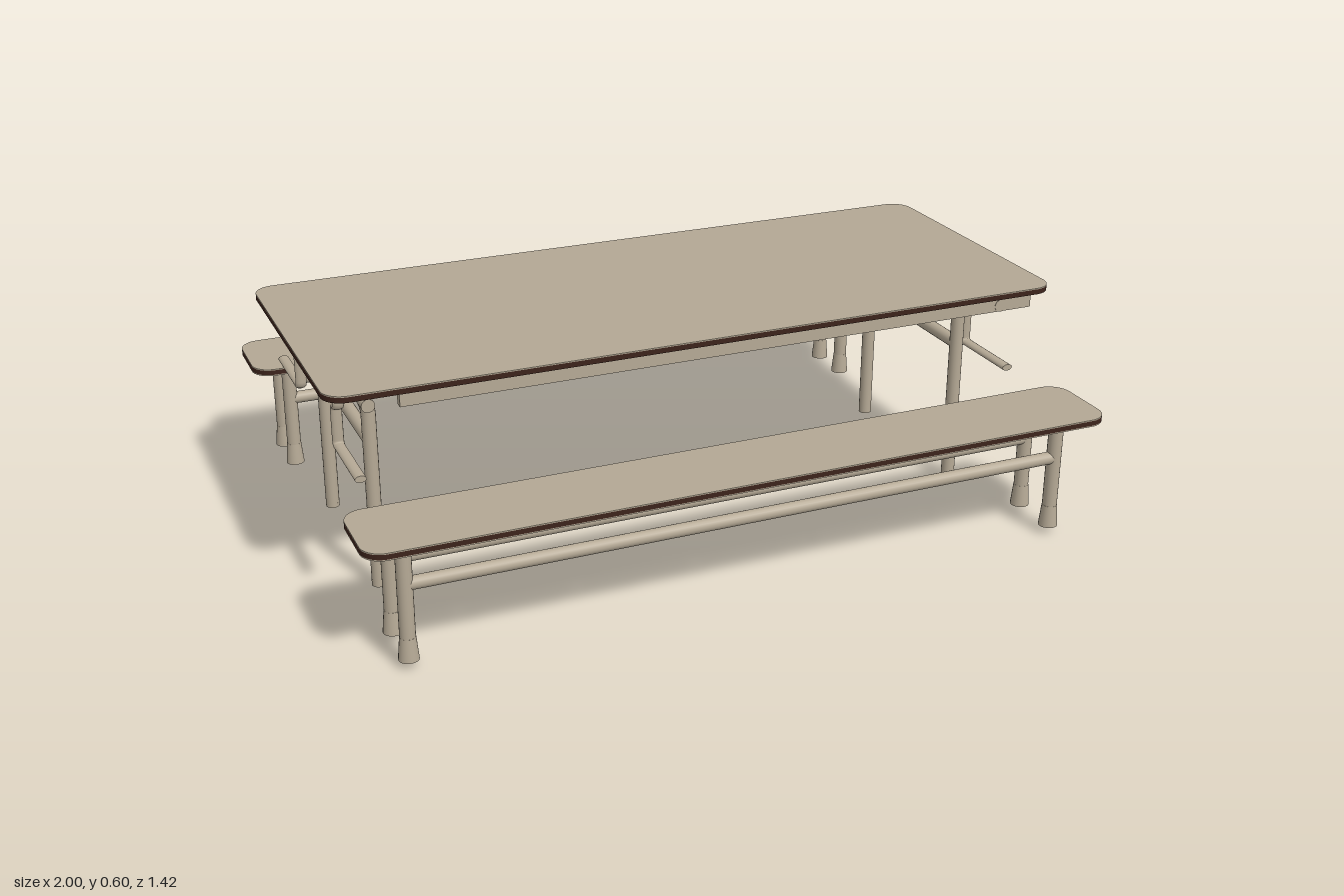
import * as THREE from 'three';

const V = (x, y, z) => new THREE.Vector3(x, y, z);

export function createModel() {
  const model = new THREE.Group();
  const mat = (name, color) => {
    const m = new THREE.MeshStandardMaterial({ color });
    m.name = name;
    return m;
  };
  const laminate = mat('beige laminate', 0xb3a894);
  const edging = mat('dark brown edging', 0x3c231b);
  const steel = mat('painted beige steel', 0xb6aa96);

  const add = (parent, name, geo, material) => {
    const mesh = new THREE.Mesh(geo, material);
    mesh.name = name;
    parent.add(mesh);
    return mesh;
  };
  const group = (name) => {
    const g = new THREE.Group();
    g.name = name;
    model.add(g);
    return g;
  };

  // Flat board with rounded corners, lying between y0 and y1
  const board = (w, d, y0, y1) => {
    const r = 0.055, x = w / 2 - r, z = d / 2 - r, s = new THREE.Shape();
    s.absarc(x, z, r, 0, Math.PI / 2);
    s.absarc(-x, z, r, Math.PI / 2, Math.PI);
    s.absarc(-x, -z, r, Math.PI, Math.PI * 1.5);
    s.absarc(x, -z, r, Math.PI * 1.5, Math.PI * 2);
    s.closePath();
    return new THREE.ExtrudeGeometry(s, { depth: y1 - y0, bevelEnabled: false, curveSegments: 8 })
      .rotateX(-Math.PI / 2).translate(0, y0, 0);
  };

  // Straight capped tube between two points
  const rod = (parent, name, a, b, r, r2 = r) => {
    const dir = b.clone().sub(a);
    const mesh = add(parent, name, new THREE.CylinderGeometry(r2, r, dir.length(), 20), steel);
    mesh.position.copy(a).lerp(b, 0.5);
    mesh.quaternion.setFromUnitVectors(V(0, 1, 0), dir.normalize());
    return mesh;
  };

  // Path of straight runs with rounded bends
  const bentPath = (pts, radius) => {
    const path = new THREE.CurvePath();
    let from = pts[0];
    for (let i = 1; i < pts.length - 1; i++) {
      const p = pts[i];
      const a = p.clone().add(pts[i - 1].clone().sub(p).setLength(radius));
      const b = p.clone().add(pts[i + 1].clone().sub(p).setLength(radius));
      path.add(new THREE.LineCurve3(from, a));
      path.add(new THREE.QuadraticBezierCurve3(a, p, b));
      from = b;
    }
    path.add(new THREE.LineCurve3(from, pts[pts.length - 1]));
    return path;
  };

  // Table top with its rails
  const top = group('tableTop');
  add(top, 'tableTopCore', board(2, 0.825, 0.583, 0.597), edging);
  add(top, 'tableTopSurface', board(2, 0.825, 0.597, 0.6), laminate);
  for (const z of [0.388, -0.374]) {
    const rail = add(top, 'sideRail', new THREE.BoxGeometry(1.755, 0.038, 0.022), steel);
    rail.position.set(0.057, 0.564, z);
  }

  // Folding leg frames, one at each end
  for (const [legX, topX, armX] of [[-0.861, -0.897, -0.93], [0.81, 0.84, 0.866]]) {
    const frame = group('legFrame');
    rod(frame, 'pivotTube', V(topX, 0.561, -0.385), V(topX, 0.561, 0.4), 0.017);
    rod(frame, 'lowerCrossbar', V(legX, 0.403, -0.245), V(legX, 0.403, 0.245), 0.018);
    for (const s of [-1, 1]) {
      const z = s * 0.243;
      const path = bentPath([V(legX, 0.004, z), V(legX, 0.5, z), V(topX, 0.562, z)], 0.03);
      add(frame, 'tableLeg', new THREE.TubeGeometry(path, 40, 0.0185, 18), steel);
      rod(frame, 'legFoot', V(legX, 0, z), V(legX, 0.012, z), 0.0185);
      const clip = add(frame, 'pivotClip', new THREE.BoxGeometry(0.045, 0.042, 0.009), steel);
      clip.position.set(topX, 0.564, s * 0.312);
    }
    // Flattened bent rod that reaches out towards both benches
    const half = [[0.415, 0.384], [0.2, 0.384], [0.2, 0.493], [0.228, 0.493], [0.228, 0.564]];
    const pts = [
      ...half.map(([z, y]) => V(0, y, z)),
      ...half.slice().reverse().map(([z, y]) => V(0, y, -z)),
    ];
    const arm = add(frame, 'benchArm',
      new THREE.TubeGeometry(bentPath(pts, 0.0139), 220, 0.009, 12), steel);
    arm.scale.x = 1.65;
    arm.position.x = armX;
    for (const s of [-1, 1]) {
      const cap = add(frame, 'armEnd', new THREE.CylinderGeometry(0.009, 0.009, 0.004, 12).rotateX(Math.PI / 2), steel);
      cap.scale.x = 1.65;
      cap.position.set(armX, 0.384, s * 0.414);
    }
  }

  // Benches
  for (const s of [-1, 1]) {
    const bench = group(s > 0 ? 'frontBench' : 'backBench');
    const mid = s > 0 ? 0.587 : -0.591;
    const slabs = [
      ['seatUnderside', 0.314, 0.317, laminate],
      ['seatEdge', 0.317, 0.33, edging],
      ['seatSurface', 0.33, 0.333, laminate],
    ];
    for (const [name, y0, y1, m] of slabs) {
      add(bench, name, board(2, 0.24, y0, y1), m).position.z = mid;
    }
    for (const off of [-0.068, 0.068]) {
      const z = mid + off;
      rod(bench, 'stretcher', V(-0.9, 0.218, z), V(0.87, 0.218, z), 0.017);
      for (const x of [-0.9, 0.87]) {
        rod(bench, 'benchLeg', V(x, 0.07, z), V(x, 0.315, z), 0.0195);
        rod(bench, 'flaredFoot', V(x, 0.02, z), V(x, 0.08, z), 0.0255, 0.02);
      }
    }
  }
  return model;
}
